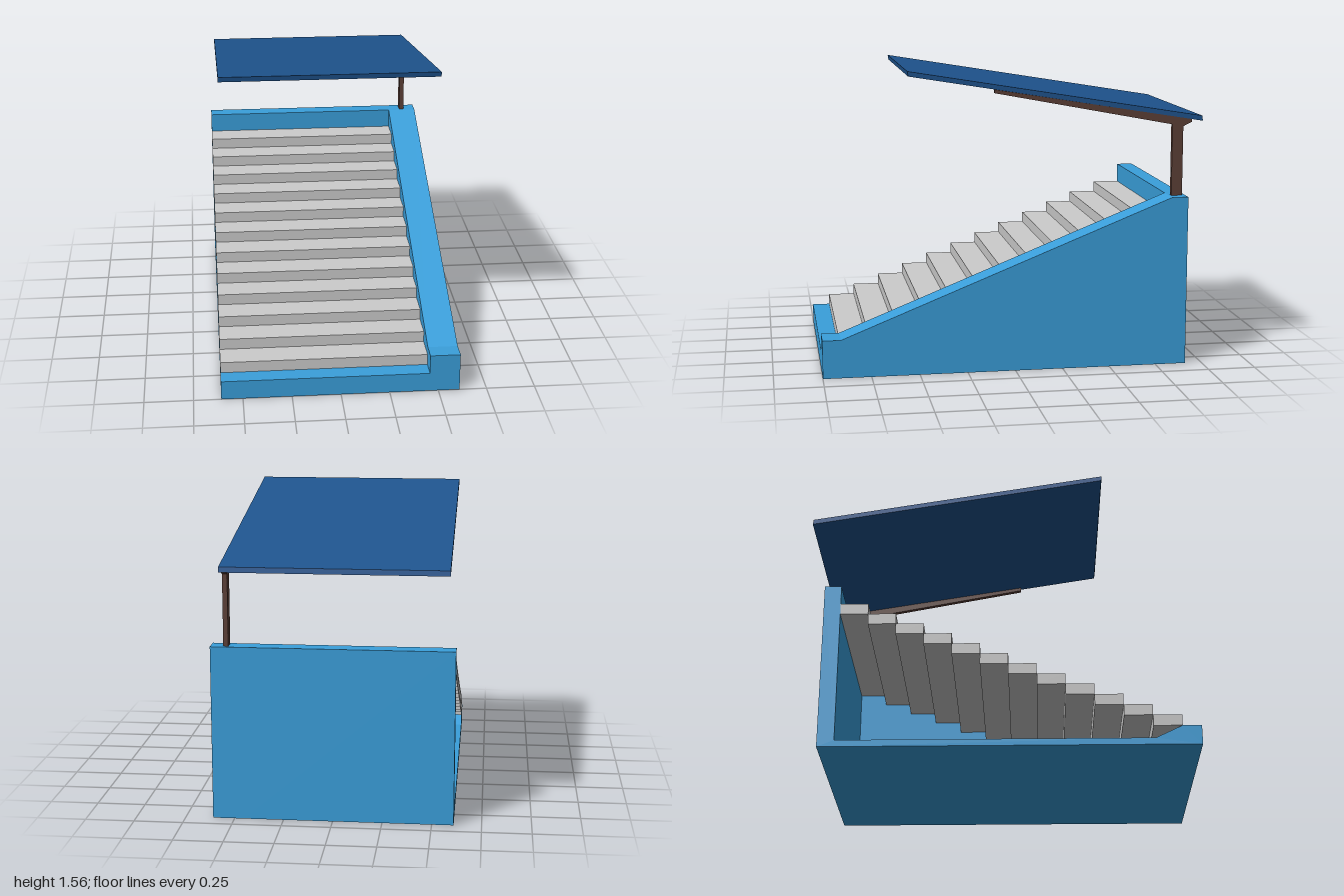
import * as THREE from 'three';

const material = (color) => new THREE.MeshStandardMaterial({ color });

// Extrudes a side profile of [z, y] points across x from x0 to x1.
function sideProfile(name, points, x0, x1, mat) {
  const shape = new THREE.Shape(points.map(([z, y]) => new THREE.Vector2(z, y)));
  const geometry = new THREE.ExtrudeGeometry(shape, { depth: x1 - x0, bevelEnabled: false });
  geometry.rotateY(-Math.PI / 2);
  geometry.translate(x1, 0, 0);
  const mesh = new THREE.Mesh(geometry, mat);
  mesh.name = name;
  return mesh;
}

export function createModel() {
  const group = new THREE.Group();
  group.name = 'coveredStand';
  const blue = material(0x3a9fdb);
  const navy = material(0x1f5590);
  const brown = material(0x5d4037);
  const grey = material(0xcccccc);

  const left = -0.61, inner = 0.455, right = 0.61;
  const front = 0.905, back = -0.825;

  // Sloping side wall
  group.add(sideProfile('sideWall',
    [[1, 0], [1, 0.2], [front, 0.2], [back, 0.893], [-0.912, 0.893], [-0.912, 0]],
    inner, right, blue));

  // Front kerb, thin floor and back wall in one piece
  group.add(sideProfile('floorAndBackWall',
    [[1, 0], [1, 0.1], [front, 0.1], [0.77, 0.035], [back, 0.035],
      [back, 0.893], [-0.912, 0.893], [-0.912, 0]],
    left, inner, blue));

  // Terrace steps, each one block climbing to the back wall
  const steps = new THREE.Group();
  steps.name = 'terraceSteps';
  const count = 12;
  const depth = (front - back) / count;
  const rise = 0.69 / count;
  const stepGeometry = new THREE.BoxGeometry(inner - left, rise, depth);
  for (let i = 0; i < count; i++) {
    const step = new THREE.Mesh(stepGeometry, grey);
    step.name = 'step';
    step.position.set((left + inner) / 2, 0.1 + (i + 0.5) * rise, front - (i + 0.5) * depth);
    steps.add(step);
  }
  group.add(steps);

  // Post and the tapered cantilever beam under the roof
  group.add(sideProfile('roofPost',
    [[-0.837, 0.893], [-0.837, 1.268], [-0.895, 1.257], [-0.895, 0.893]],
    0.52, 0.545, brown));
  group.add(sideProfile('roofBeam',
    [[0.1, 1.463], [0.1, 1.445], [-0.837, 1.268], [-0.895, 1.257], [-0.942, 1.28], [-0.942, 1.294]],
    0.52, 0.545, brown));

  // Tilted flat roof
  group.add(sideProfile('roof',
    [[0.545, 1.562], [0.541, 1.536], [-1, 1.284], [-0.996, 1.311]].map(([z, y]) => [z, y]),
    -0.58, 0.545, navy));

  return group;
}
